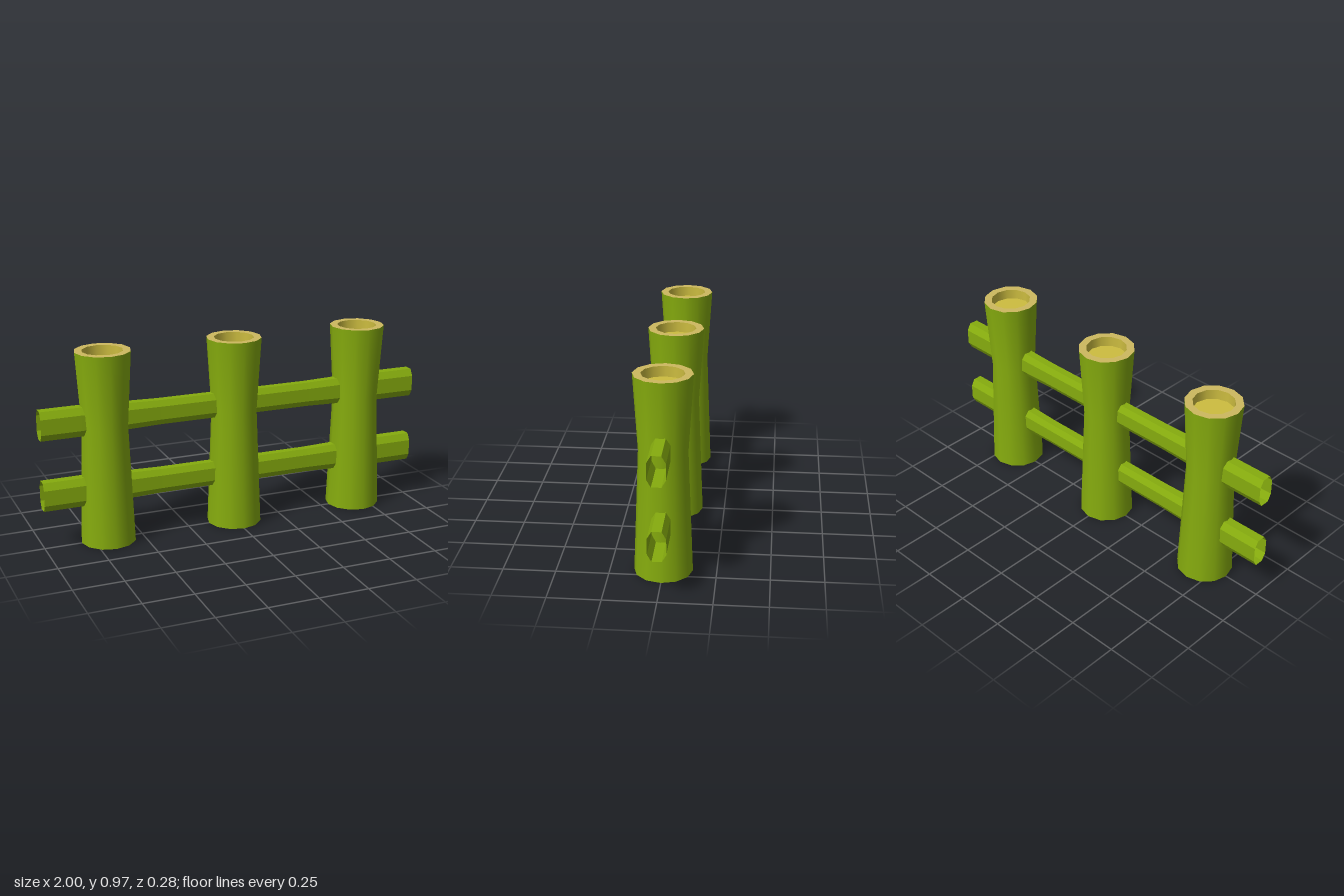
import * as THREE from 'three';

const green = new THREE.MeshStandardMaterial({ color: 0x86ac0e, side: THREE.DoubleSide });
green.name = 'bamboo green';
const tan = new THREE.MeshStandardMaterial({ color: 0xcdb95f });
tan.name = 'cut rim tan';
const straw = new THREE.MeshStandardMaterial({ color: 0xcdbd40, side: THREE.DoubleSide });
straw.name = 'hollow straw';

const SIDES = 12, HEIGHT = 0.97, RADIUS = 0.138, HOLE = 0.1, DEPTH = 0.05;

function add(parent, name, geometry, material, y = 0) {
  const mesh = new THREE.Mesh(geometry, material);
  mesh.name = name;
  mesh.position.y = y;
  parent.add(mesh);
}

// Waisted post, open at the bottom, with a shallow hollow in its cut top
function makePost(x) {
  const post = new THREE.Group();
  post.name = 'post';
  post.position.x = x;
  const profile = [[RADIUS, 0], [0.115, 0.6], [RADIUS, HEIGHT]].map(p => new THREE.Vector2(...p));
  add(post, 'postShell', new THREE.LatheGeometry(profile, SIDES), green);
  // Ring and disc start on +x, a vertex shared with the shell
  add(post, 'cutRim', new THREE.RingGeometry(HOLE, RADIUS, SIDES).rotateX(-Math.PI / 2), tan, HEIGHT);
  add(post, 'hollowWall', new THREE.CylinderGeometry(HOLE, HOLE, DEPTH, SIDES, 1, true), straw, HEIGHT - DEPTH / 2);
  add(post, 'hollowFloor', new THREE.CircleGeometry(HOLE, SIDES).rotateX(-Math.PI / 2), straw, HEIGHT - DEPTH);
  return post;
}

// Open eight-sided rail, taller than deep and slimmer in the middle
function makeRailGeometry() {
  const tube = new THREE.CylinderGeometry(1, 1, 2, 8, 10, true, Math.PI / 8).rotateZ(Math.PI / 2);
  const pos = tube.attributes.position;
  const corner = v => Math.sign(v) * (Math.abs(v) > 0.6 ? 1 : 0.53);
  for (let i = 0; i < pos.count; i++) {
    const taper = 0.85 + 0.15 * THREE.MathUtils.clamp((Math.abs(pos.getX(i)) - 0.4) / 0.4, 0, 1);
    pos.setY(i, corner(pos.getY(i)) * 0.073 * taper);
    pos.setZ(i, corner(pos.getZ(i)) * 0.043 * taper);
  }
  const flat = tube.toNonIndexed();
  flat.computeVertexNormals();
  return flat;
}

export function createModel() {
  const fence = new THREE.Group();
  fence.name = 'bambooFence';
  for (const x of [-0.675, 0, 0.683]) fence.add(makePost(x));
  const rail = makeRailGeometry();
  add(fence, 'lowerRail', rail, green, 0.275);
  add(fence, 'upperRail', rail, green, 0.633);
  return fence;
}
